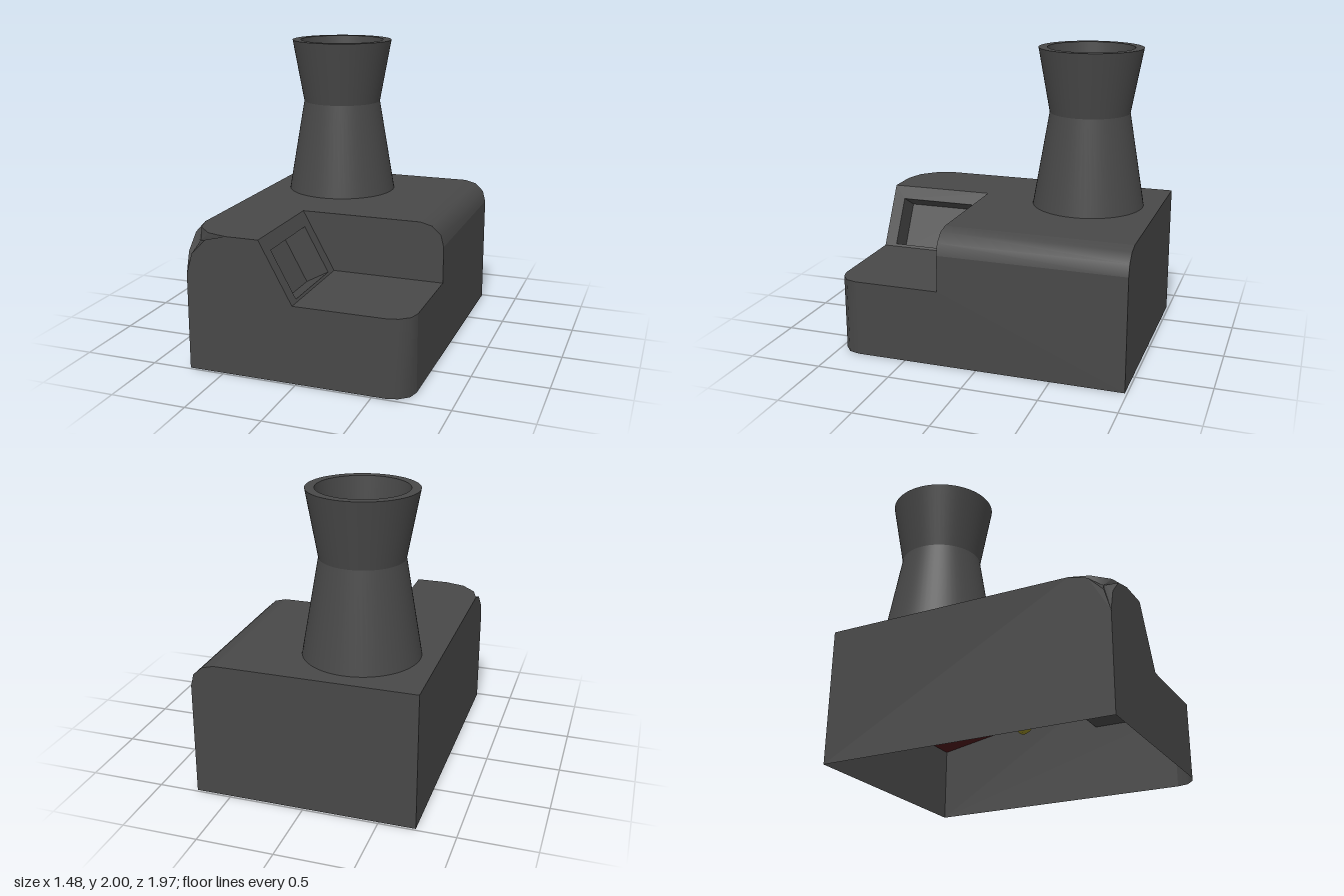
import * as THREE from 'three';

const V = (x, y, z) => new THREE.Vector3(x, y, z);
const W = 0.74, H = 0.915, D = 0.985; // half width, height, half depth
const FLOOR = 0.515, NZ = 0.26;       // ledge height and its rear wall

const material = (color, extra = {}) =>
  new THREE.MeshStandardMaterial({ color, side: THREE.DoubleSide, ...extra });

// Flat panel: a 2D outline (with optional hole) mapped into space
function panel(points, map, hole) {
  const toV2 = (list) => list.map(([u, v]) => new THREE.Vector2(u, v));
  const shape = new THREE.Shape(toV2(points));
  if (hole) shape.holes.push(new THREE.Path(toV2(hole)));
  const geo = new THREE.ShapeGeometry(shape);
  const pos = geo.attributes.position;
  for (let i = 0; i < pos.count; i++) {
    const p = map(pos.getX(i), pos.getY(i));
    pos.setXYZ(i, p.x, p.y, p.z);
  }
  geo.computeVertexNormals();
  return geo;
}

// Ruled surface between two equally long rows of points
function strip(rowA, rowB) {
  const pts = [], index = [], n = rowA.length;
  [...rowA, ...rowB].forEach((p) => pts.push(p.x, p.y, p.z));
  for (let i = 0; i < n - 1; i++) index.push(i, i + 1, n + i, i + 1, n + i + 1, n + i);
  const geo = new THREE.BufferGeometry();
  geo.setAttribute('position', new THREE.Float32BufferAttribute(pts, 3));
  geo.setIndex(index);
  geo.computeVertexNormals();
  return geo;
}

export function createModel() {
  const model = new THREE.Group();
  const grey = material(0x484848);
  const red = material(0x4c171a, { flatShading: true });
  const yellow = material(0x8f8424);
  const add = (name, geo, mat = grey, parent = model) => {
    const mesh = new THREE.Mesh(geo, mat);
    mesh.name = name;
    parent.add(mesh);
    return mesh;
  };

  const body = new THREE.Group();
  body.name = 'body';
  model.add(body);
  const wall = (name, ...args) => add(name, panel(...args), grey, body);

  // Rounded edges, as 2D profiles
  const fillet = [[W, 0.76], [0.72, 0.84], [0.66, 0.895], [0.58, H]];        // x, y
  const frontRound = [[W, 0.84], [0.72, 0.915], [0.66, 0.965], [0.6, D]];    // x, z
  const cornerFront = [[-0.46, H], [-0.6, 0.88], [-0.7, 0.78], [-W, 0.64]];  // x, y
  const cornerTop = [[-0.46, D], [-0.6, 0.945], [-0.7, 0.845], [-W, 0.72]];  // x, z
  const cornerSide = [[D, 0.64], [0.945, 0.78], [0.845, 0.88], [0.72, H]];   // z, y

  // Outer walls, open underneath
  wall('frontWall', [[-W, 0], [0.6, 0], [0.6, FLOOR], [-0.02, FLOOR], [-0.24, H], ...cornerFront],
    (x, y) => V(x, y, D));
  wall('backWall', [[-W, 0], [W, 0], ...fillet, [-W, H]], (x, y) => V(x, y, -D));
  wall('rightWall', [[-D, 0], [D, 0], ...cornerSide, [-D, H]], (z, y) => V(-W, y, z));
  wall('leftWall', [[-D, 0], [0.84, 0], [0.84, FLOOR], [NZ, FLOOR], [NZ, 0.76], [-D, 0.76]],
    (z, y) => V(W, y, z));
  wall('roof', [[-W, -D], [0.58, -D], [0.58, NZ], [-0.24, NZ], [-0.24, D], ...cornerTop],
    (x, z) => V(x, H, z));
  add('roofEdge', strip(fillet.map(([x, y]) => V(x, y, NZ)), fillet.map(([x, y]) => V(x, y, -D))), grey, body);
  add('frontEdge', strip(frontRound.map(([x, z]) => V(x, 0, z)),
    frontRound.map(([x, z]) => V(x, FLOOR, z))), grey, body);

  // Blunted corner: a shallow dome bounded by three arcs
  const ring = [
    ...cornerFront.map(([x, y]) => V(x, y, D)),
    ...cornerSide.slice(1).map(([z, y]) => V(-W, y, z)),
    ...cornerTop.slice(0, 3).reverse().map(([x, z]) => V(x, H, z)),
  ];
  ring.push(ring[0].clone());
  add('bluntCorner', strip(ring, ring.map(() => V(-0.67, 0.845, 0.915))), grey, body);

  // Ledge cut into the front corner
  wall('ledge', [[-0.02, NZ], [W, NZ], ...frontRound, [-0.02, D]], (x, z) => V(x, FLOOR, z));
  wall('ledgeBackWall', [[-0.24, H], [-0.02, FLOOR], [W, FLOOR], ...fillet], (x, y) => V(x, y, NZ));

  // Slanted wall with a recessed pocket
  const slant = (z, t) => V(-0.24 + 0.22 * t, H - 0.4 * t, z);
  const inward = V(-0.876, -0.482, 0).multiplyScalar(0.176);
  const window_ = [[0.35, 0.21], [0.9, 0.21], [0.9, 0.96], [0.35, 0.96]];
  wall('slantedWall', [[NZ, 0], [D, 0], [D, 1], [NZ, 1]], slant, window_);
  wall('pocketBack', window_, (z, t) => slant(z, t).add(inward));
  window_.forEach((a, i) => {
    const edge = [slant(...a), slant(...window_[(i + 1) % 4])];
    add('pocketSide', strip(edge, edge.map((p) => p.clone().add(inward))), grey, body);
  });

  // Waisted chimney: separate smooth walls keep the waist and rim crisp
  const chimney = new THREE.Group();
  chimney.name = 'chimney';
  chimney.position.set(-0.235, 0, -0.485);
  model.add(chimney);
  const rings = [
    ['lowerOuter', 0.385, H, 0.275, 1.56], ['upperOuter', 0.275, 1.56, 0.355, 2],
    ['rim', 0.355, 2, 0.295, 2],
    ['upperInner', 0.295, 2, 0.245, 1.56], ['lowerInner', 0.245, 1.56, 0.34, H],
  ];
  for (const [name, r0, y0, r1, y1] of rings) {
    add(name, new THREE.LatheGeometry([new THREE.Vector2(r0, y0), new THREE.Vector2(r1, y1)], 64), grey, chimney);
  }

  // Arched lining under the roof: z, height, left edge
  const rows = [[D, 0.56, -0.36], [0.75, 0.69, -0.37], [0.5, 0.77, -0.37], [0.34, 0.745, -0.37],
    [0.25, 0.73, -0.18], [0.22, 0.72, W], [-0.17, 0.653, W], [-0.6, 0.58, W], [-D, 0.51, W]];
  add('lining', strip(rows.map(([z, y]) => V(-W, y, z)), rows.map(([z, y, x]) => V(x, y, z))), red);

  // Lumpy nugget hanging below the lining
  const lump = new THREE.SphereGeometry(0.19, 32, 24);
  const pos = lump.attributes.position, p = V(0, 0, 0);
  for (let i = 0; i < pos.count; i++) {
    p.fromBufferAttribute(pos, i);
    const bump = Math.sin(p.x * 26 + 1) * Math.sin(p.y * 22) * Math.cos(p.z * 24);
    p.multiplyScalar(1 + 0.22 * bump);
    pos.setXYZ(i, p.x, p.y * 1.15, p.z);
  }
  lump.computeVertexNormals();
  add('nugget', lump, yellow).position.set(-0.08, 0.5, 0.08);

  return model;
}
